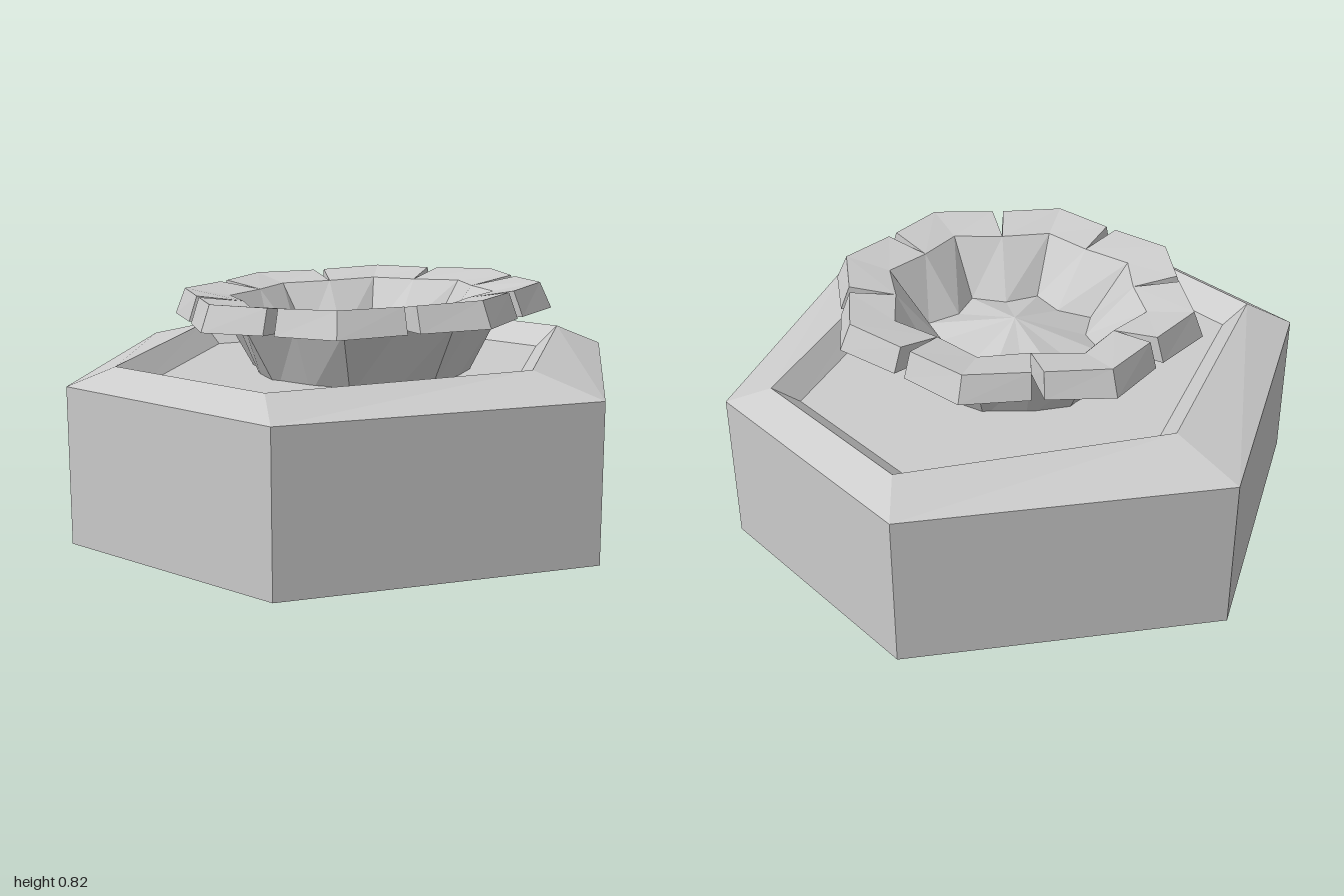
import * as THREE from 'three';

const material = new THREE.MeshStandardMaterial({ color: 0xcccccc, flatShading: true });

// Collects flat-shaded faces, corners counter-clockwise
function faceBuilder() {
  const pos = [];
  const tri = (...pts) => pts.forEach(p => pos.push(p.x, p.y, p.z));
  return {
    quad(a, b, c, d) { tri(a, b, c); tri(a, c, d); },
    loft(rows, closed) {
      for (let r = 0; r + 1 < rows.length; r++) {
        const a = rows[r], b = rows[r + 1], n = a.length;
        for (let i = 0; i < (closed ? n : n - 1); i++) {
          const j = (i + 1) % n;
          this.quad(a[i], a[j], b[j], b[i]);
        }
      }
    },
    mesh(name) {
      const g = new THREE.BufferGeometry();
      g.setAttribute('position', new THREE.Float32BufferAttribute(pos, 3));
      g.computeVertexNormals();
      const m = new THREE.Mesh(g, material);
      m.name = name;
      return m;
    },
  };
}

const V = (x, y, z) => new THREE.Vector3(x, y, z);
const polar = (r, angle, y) => V(r * Math.cos(angle), y, -r * Math.sin(angle));

// Stretched hexagon: x of the side points, then x and z of the four corners
const hexagon = ([px, cx, cz, y]) => [
  V(px, y, 0), V(cx, y, -cz), V(-cx, y, -cz),
  V(-px, y, 0), V(-cx, y, cz), V(cx, y, cz),
];

// Hexagonal block with a bevelled rim and a shallow recess
function createBase() {
  const f = faceBuilder();
  f.loft([
    [0, 0, 0, 0],
    [1, 0.445, 0.905, 0],
    [1, 0.445, 0.905, 0.525],
    [0.735, 0.325, 0.8, 0.59],
    [0.655, 0.29, 0.715, 0.52],
    [0, 0, 0, 0.52],
  ].map(hexagon), true);
  return f.mesh('hexagonalBase');
}

// Hollow bowl whose rim folds out into eight separate petals
function createFlower() {
  const f = faceBuilder();
  const deg = Math.PI / 180;
  // [middle radius, middle y, side radius, side y, half angle]
  const profile = [
    [0.36, 0.49, 0.35, 0.49, 22.5],   // foot
    [0.48, 0.712, 0.435, 0.712, 22.5], // under the petal
    [0.647, 0.716, 0.59, 0.716, 20.5], // lower tip
    [0.61, 0.803, 0.56, 0.8, 20.5],   // upper tip
    [0.452, 0.775, 0.405, 0.775, 22.5], // bowl rim
    [0.31, 0.59, 0.25, 0.59, 22.5],   // bowl floor
    [0, 0.67, 0, 0.67, 22.5],         // raised centre
  ];
  for (let i = 0; i < 8; i++) {
    const mid = (78 - 45 * i) * deg;
    const rows = profile.map(([mr, my, sr, sy, half]) => [
      polar(sr, mid - half * deg, sy),
      polar(mr, mid, my),
      polar(sr, mid + half * deg, sy),
    ]);
    f.loft(rows, false);
    // Petal side walls facing the gaps
    const [, under, low, high, rim] = rows;
    f.quad(under[2], rim[2], high[2], low[2]);
    f.quad(under[0], low[0], high[0], rim[0]);
  }
  const flower = f.mesh('flowerBowl');
  // Slightly off centre and tilted
  flower.position.set(0.065, 0, 0.005);
  flower.rotation.set(0.013, 0, 0.03);
  return flower;
}

export function createModel() {
  const model = new THREE.Group();
  model.name = 'flowerOnHexagonalBase';
  model.add(createBase(), createFlower());
  return model;
}
